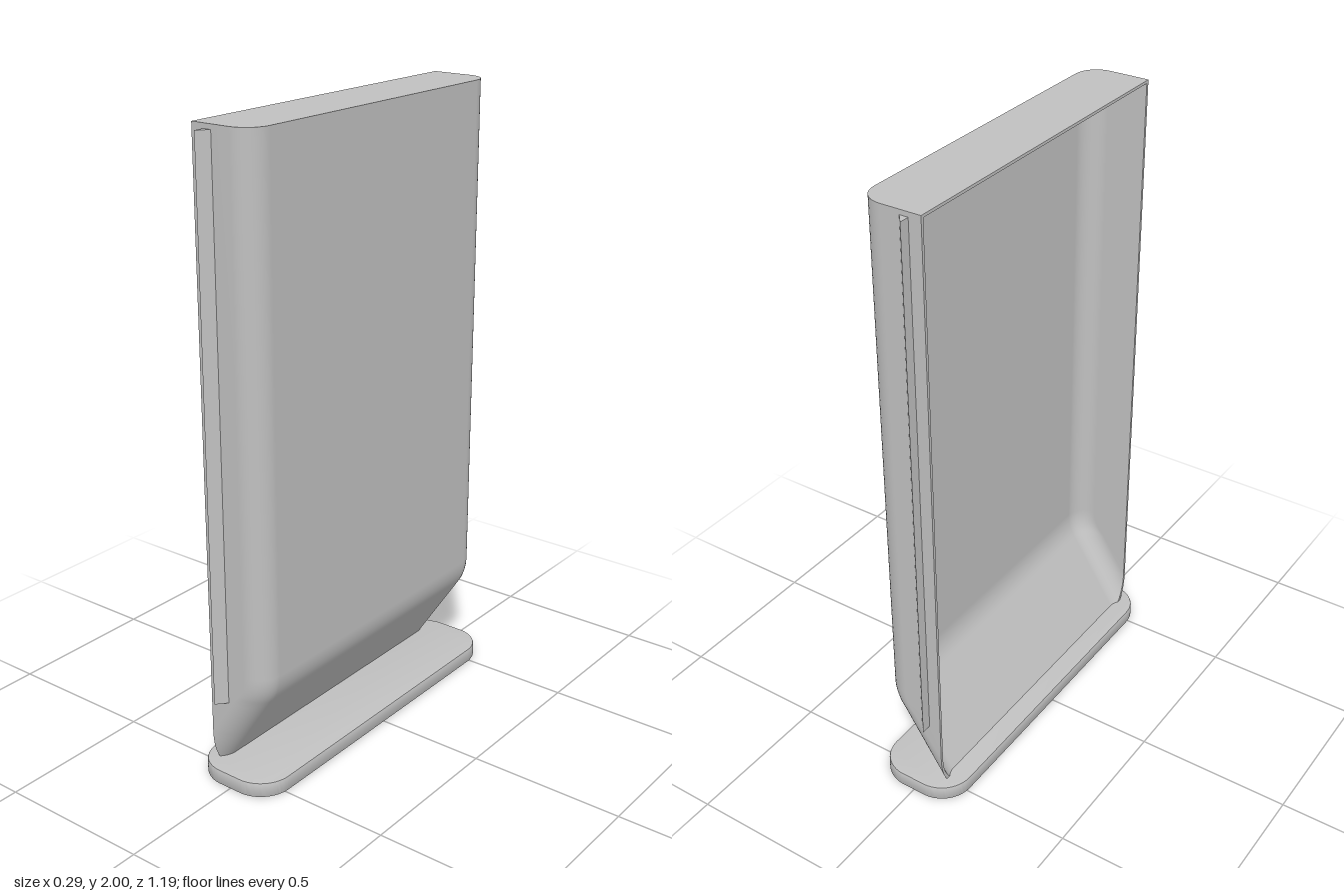
import * as THREE from 'three';
import { toCreasedNormals } from 'three/addons/utils/BufferGeometryUtils.js';

const OPEN_X = -0.09;   // plane of the open side
const HALF_Z = 0.56;
const FILLET = 0.075;
const WALL = 0.009;
const STEPS = 10;       // segments per fillet

// Smooth surface through rows of points
function grid(rows, flip = false) {
  const n = rows[0].length, index = [];
  for (let i = 0; i < rows.length - 1; i++) {
    for (let j = 0; j < n - 1; j++) {
      const a = i * n + j, b = a + n, c = b + 1, d = a + 1;
      if (flip) index.push(a, c, b, a, d, c);
      else index.push(a, b, c, a, c, d);
    }
  }
  const g = new THREE.BufferGeometry().setFromPoints(rows.flat());
  g.setIndex(index);
  g.computeVertexNormals();
  return g;
}

// Side silhouette of the broad face: { x, y, m = dx/dy }, from top to foot
function silhouette() {
  const m = 0.654, bendY = 0.33, faceX = 0.115;
  const out = [{ x: faceX, y: 2, m: 0 }];
  const h = 0.05, low = 0.04;
  for (let i = 0; i <= 8; i++) {
    const t = i / 8, s = 1 - t;
    const x = faceX - t * t * low * m;
    const y = s * s * (bendY + h) + 2 * s * t * bendY + t * t * (bendY - low);
    const dy = -2 * s * h - 2 * t * low;
    out.push({ x, y, m: (-2 * t * low * m) / dy });
  }
  for (let i = 1; i <= 16; i++) {
    const y = THREE.MathUtils.lerp(bendY - low, 0.045, i / 16);
    out.push({ x: faceX - (bendY - y) * m, y, m });
  }
  return out;
}

// Horizontal U-shaped slice with filleted corners, cut off at the open plane
function slice({ x, y, m }, inset) {
  const k = Math.hypot(1, m), r = FILLET - inset, X = x - inset * k;
  const depth = Math.min(r, (X - OPEN_X) / k);
  const aMax = Math.acos(1 - depth / r);
  const half = [];
  for (let i = 0; i <= STEPS; i++) {
    const a = aMax * (1 - i / STEPS);
    const z = HALF_Z - inset - r + r * Math.sin(a);
    const px = X - k * r * (1 - Math.cos(a));
    if (i === 0) half.push(new THREE.Vector3(OPEN_X, y, z));
    half.push(new THREE.Vector3(px, y, z));
  }
  const mirrored = half.map(p => new THREE.Vector3(p.x, p.y, -p.z)).reverse();
  return [...half, ...mirrored];
}

// Flat lid spanning one slice
function lid(row, flip) {
  const h = row.length / 2;
  return grid([row.slice(0, h), row.slice(h).reverse()], flip);
}

// Edge of a shell at the open plane, up one side and down the other
function openEdge(rows) {
  return [...rows.map(r => r[0]).reverse(), ...rows.map(r => r[r.length - 1])];
}

function roundedRect(w, h, r) {
  const s = new THREE.Shape();
  s.absarc(w - r, h - r, r, 0, Math.PI / 2);
  s.absarc(-w + r, h - r, r, Math.PI / 2, Math.PI);
  s.absarc(-w + r, -h + r, r, Math.PI, Math.PI * 1.5);
  s.absarc(w - r, -h + r, r, Math.PI * 1.5, Math.PI * 2);
  s.closePath();
  return s;
}

export function createModel() {
  const model = new THREE.Group();
  model.name = 'openBackedPanelStand';
  const grey = new THREE.MeshStandardMaterial({ color: 0xc0c0c0 });
  grey.name = 'grey';
  const add = (name, geometry, parent = model) => {
    const mesh = new THREE.Mesh(geometry, grey);
    mesh.name = name;
    parent.add(mesh);
    return mesh;
  };

  // Hollow housing, open towards -x
  const housing = new THREE.Group();
  housing.name = 'housing';
  model.add(housing);
  const path = silhouette();
  const outer = path.map(p => slice(p, 0));
  const inner = path.map((p, i) => slice(i ? p : { ...p, y: p.y - WALL }, WALL));
  add('outerShell', grid(outer), housing);
  add('innerShell', grid(inner, true), housing);
  add('topCap', lid(outer[0], true), housing);
  add('ceiling', lid(inner[0], false), housing);
  add('openingRim', grid([openEdge(outer), openEdge(inner)], true), housing);

  // Wedge-shaped fins along both narrow sides
  for (const side of [1, -1]) {
    const wedge = new THREE.Shape([
      new THREE.Vector2(-0.05, side * 0.555),
      new THREE.Vector2(-0.022, side * 0.56),
      new THREE.Vector2(-0.05, side * 0.593),
    ]);
    const g = new THREE.ExtrudeGeometry(wedge, { depth: 1.71, bevelEnabled: false });
    g.rotateX(-Math.PI / 2);
    g.translate(0, 0.275, 0);
    add(side > 0 ? 'backFin' : 'frontFin', g);
  }

  // Foot plate with softened edges
  const bevel = 0.006;
  const plate = new THREE.ExtrudeGeometry(roundedRect(0.146 - bevel, 0.593 - bevel, 0.1), {
    depth: 0.05 - 2 * bevel, bevelSize: bevel, bevelThickness: bevel,
    bevelSegments: 2, curveSegments: 14,
  });
  plate.rotateX(-Math.PI / 2);
  plate.translate(0, bevel, 0);
  add('footPlate', toCreasedNormals(plate, 0.6));

  return model;
}
